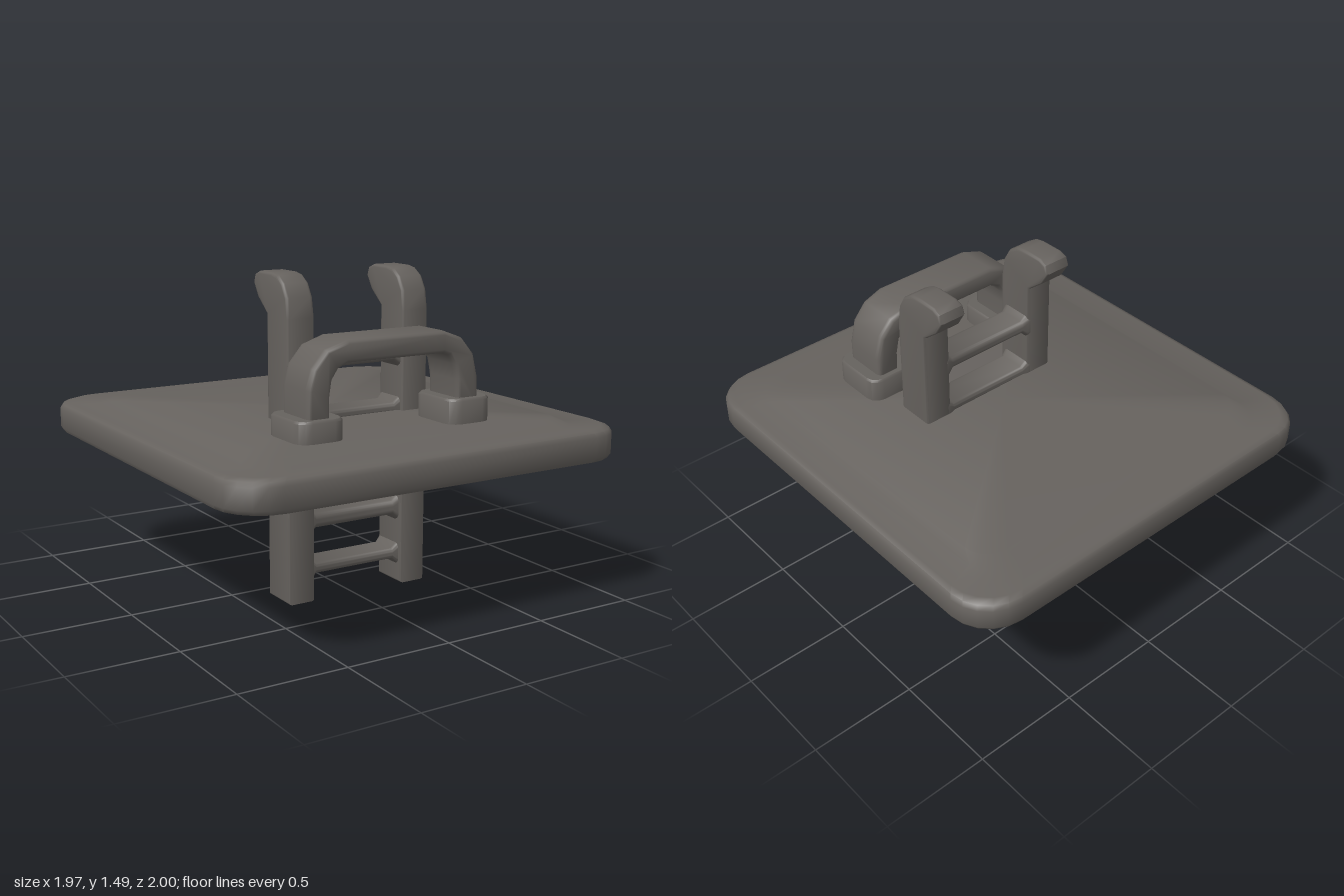
import * as THREE from 'three';
import { toCreasedNormals } from 'three/addons/utils/BufferGeometryUtils.js';

const metal = new THREE.MeshStandardMaterial({ color: 0x66625e });
metal.name = 'dark grey metal';

// Stack of rounded-rectangle rings [halfX, halfZ, y, cornerRadius], closed at both ends
function loft(rings, crease = 0.75, steps = 5) {
  const pos = [], index = [], n = 4 * (steps + 1);
  for (const [hx, hz, y, r] of rings) {
    for (let q = 0; q < 4; q++) {
      const sx = q === 0 || q === 3 ? 1 : -1, sz = q < 2 ? 1 : -1;
      for (let i = 0; i <= steps; i++) {
        const a = (q + i / steps) * Math.PI / 2;
        pos.push(sx * (hx - r) + r * Math.cos(a), y, sz * (hz - r) + r * Math.sin(a));
      }
    }
  }
  const last = rings.length - 1;
  pos.push(0, rings[0][2], 0, 0, rings[last][2], 0);
  const bottom = rings.length * n, top = bottom + 1;
  for (let j = 0; j < n; j++) {
    const k = (j + 1) % n;
    for (let i = 0; i < last; i++) {
      const a = i * n + j, b = i * n + k;
      index.push(a, a + n, b, b, a + n, b + n);
    }
    index.push(bottom, j, k, top, last * n + k, last * n + j);
  }
  const g = new THREE.BufferGeometry();
  g.setAttribute('position', new THREE.Float32BufferAttribute(pos, 3));
  g.setIndex(index);
  return toCreasedNormals(g, crease);
}

// Bevelled extrusion centred on its depth; the outline keeps its full size
function slice(points, width, bevelDepth, bevelSize) {
  const shape = new THREE.Shape(points.map(([x, y]) => new THREE.Vector2(x, y)));
  const depth = width - 2 * bevelDepth;
  const g = new THREE.ExtrudeGeometry(shape, {
    depth, bevelEnabled: true, bevelThickness: bevelDepth,
    bevelSize, bevelOffset: -bevelSize, bevelSegments: 3,
  });
  g.translate(0, 0, -depth / 2);
  return toCreasedNormals(g, 0.75);
}

export function createModel() {
  const group = new THREE.Group();
  const add = (name, geometry, x = 0, y = 0, z = 0) => {
    const mesh = new THREE.Mesh(geometry, metal);
    mesh.name = name;
    mesh.position.set(x, y, z);
    group.add(mesh);
    return mesh;
  };

  // Square hatch plate with raised top panel and shallow recess below
  add('hatchPlate', loft([
    [0.76, 0.78, 0.67, 0.15],
    [0.80, 0.82, 0.656, 0.17],
    [0.90, 0.93, 0.656, 0.19],
    [0.95, 0.965, 0.667, 0.2],
    [0.975, 0.99, 0.675, 0.2],
    [0.985, 1.0, 0.695, 0.2],
    [0.985, 1.0, 0.785, 0.2],
    [0.975, 0.99, 0.805, 0.2],
    [0.95, 0.965, 0.815, 0.2],
    [0.82, 0.87, 0.812, 0.15],
    [0.785, 0.77, 0.835, 0.12],
  ]));

  // Ladder rails, hooked backwards at the top; outline is [z, y]
  const rail = slice([
    [0.265, 0], [0.265, 1.3], [0.25, 1.39], [0.215, 1.45], [0.165, 1.482], [0.12, 1.49],
    [0.01, 1.49], [-0.03, 1.475], [-0.045, 1.435], [-0.005, 1.37], [0.075, 1.305], [0.075, 0],
  ], 0.135, 0.015, 0.012);
  rail.rotateY(-Math.PI / 2);
  add('rightRail', rail, -0.278);
  add('leftRail', rail, 0.328);

  // Rungs, flared where they meet the rails: [centre height, thickness]
  [[0.14, 0.05], [0.365, 0.07], [0.59, 0.06], [0.845, 0.05], [1.095, 0.06]].forEach(([y, t]) => {
    const h = t / 2;
    const g = loft([
      [h + 0.03, 0.085, -0.25, h],
      [h + 0.025, 0.085, -0.235, h],
      [h, 0.077, -0.21, h * 0.8],
      [h, 0.077, 0.21, h * 0.8],
      [h + 0.025, 0.085, 0.235, h],
      [h + 0.03, 0.085, 0.25, h],
    ], 0.9);
    g.rotateZ(Math.PI / 2);
    add('rung', g, 0.025, y, 0.16);
  });

  // Arched grab handle, outline is [x, y]
  add('grabHandle', slice([
    [-0.45, 0.9], [-0.45, 1.05], [-0.425, 1.14], [-0.36, 1.215], [-0.255, 1.25],
    [0.24, 1.25], [0.335, 1.215], [0.4, 1.14], [0.427, 1.03], [0.427, 0.9],
    [0.315, 0.9], [0.31, 1.03], [0.295, 1.1], [0.265, 1.14], [0.235, 1.15],
    [-0.255, 1.15], [-0.3, 1.13], [-0.33, 1.085], [-0.34, 1.02], [-0.34, 0.9],
  ], 0.225, 0.03, 0.018), 0, 0, 0.502);

  // Handle feet
  [['rightFoot', -0.395, 0.93], ['leftFoot', 0.37, 0.947]].forEach(([name, x, top]) => {
    add(name, loft([
      [0.115, 0.145, 0.82, 0.06],
      [0.115, 0.145, top - 0.01, 0.06],
      [0.107, 0.137, top, 0.055],
    ], 0.75, 3), x, 0, 0.503);
  });

  return group;
}
